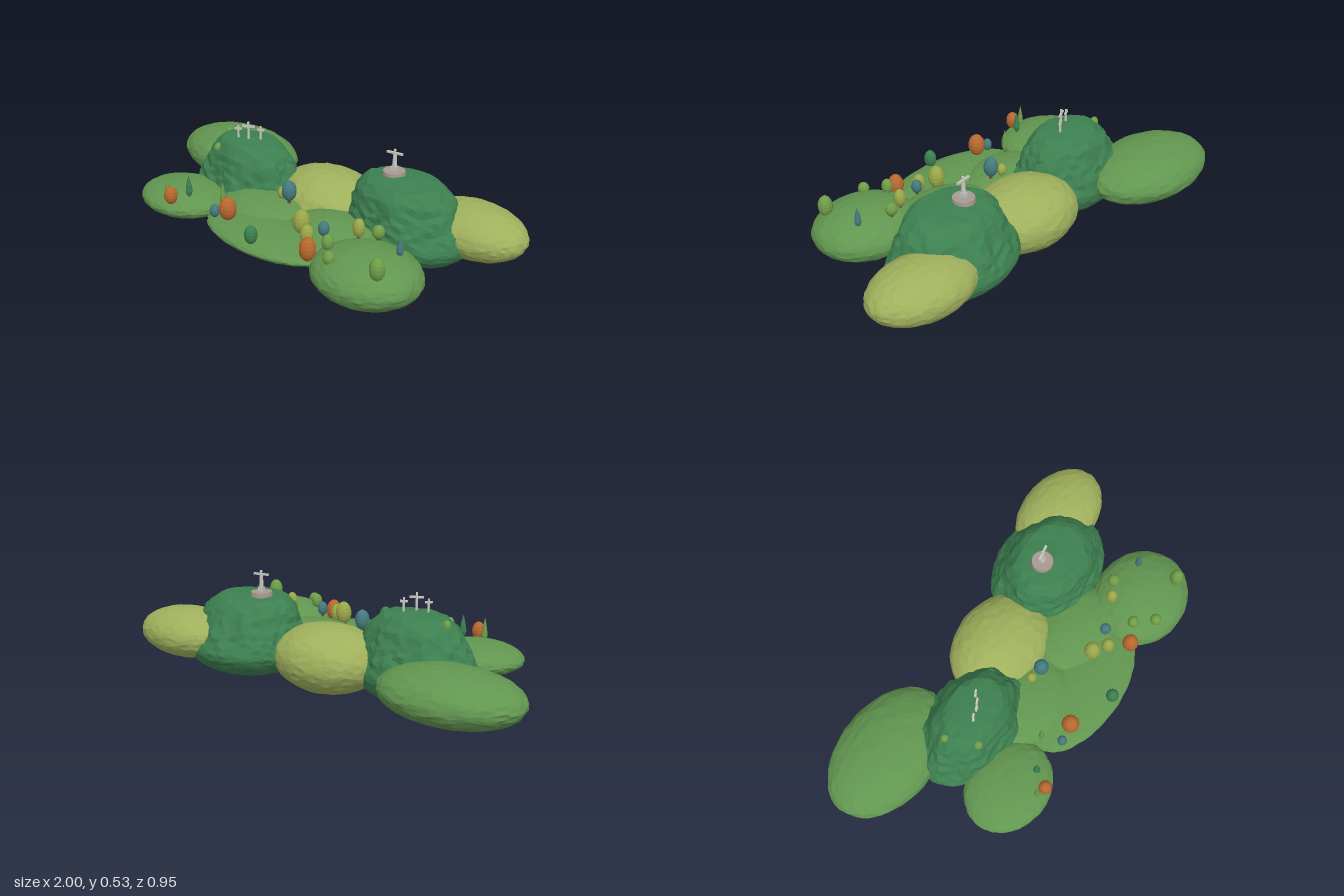
import * as THREE from 'three';

const mat = (color) => new THREE.MeshStandardMaterial({ color, flatShading: true, roughness: 0.9 });
const M = {
  meadow: mat(0x629650), olive: mat(0x9fb05c), forest: mat(0x3d8050),
  stone: mat(0xc8c8c0), paving: mat(0xa89890), trunk: mat(0x6b4a2f),
  orange: mat(0xb8682f), teal: mat(0x457a7d), lime: mat(0x6f9e48),
  yellow: mat(0x9aa84a), pine: mat(0x3a8050),
};

// Repeatable noise in -1..1, equal for shared corners
function noise(x, y, z, seed) {
  const r = (v) => Math.round(v * 1000) / 1000;
  const s = Math.sin(r(x) * 127.1 + r(y) * 311.7 + r(z) * 74.7 + seed * 19.3) * 43758.5453;
  return (s - Math.floor(s)) * 2 - 1;
}

function add(parent, name, geometry, material, x = 0, y = 0, z = 0) {
  const mesh = new THREE.Mesh(geometry, material);
  mesh.name = name;
  mesh.position.set(x, y, z);
  parent.add(mesh);
  return mesh;
}

// Faceted unit sphere reshaped by a rule applied to each vertex
function shapedSphere(detail, rule) {
  const g = new THREE.IcosahedronGeometry(1, detail);
  const p = g.attributes.position;
  const v = new THREE.Vector3();
  for (let i = 0; i < p.count; i++) {
    rule(v.fromBufferAttribute(p, i));
    p.setXYZ(i, v.x, v.y, v.z);
  }
  g.computeVertexNormals();
  return g;
}

// Low rounded hill
function hill(parent, name, material, [x, y, z], [rx, ry, rz], seed) {
  const g = shapedSphere(8, (v) => {
    const k = 1 + 0.012 * noise(v.x, v.y, v.z, seed);
    v.set(v.x * rx * k, v.y * ry * k, v.z * rz * k);
  });
  add(parent, name, g, material, x, y, z);
}

// Mountain: round underside, steep rocky sides and a flat summit.
// profile rows are [elevation 0..1, width fraction, height above centre]
function mountain(parent, name, [x, y, z], [rx, ry, rz], profile, lean, seed) {
  const g = shapedSphere(9, (v) => {
    const n = noise(v.x, v.y, v.z, seed);
    const a = Math.atan2(v.z, v.x);
    if (v.y <= 0) {
      const k = 1 + 0.01 * n;
      v.set(v.x * rx * k, v.y * ry * k, v.z * rz * k);
      return;
    }
    const t = Math.asin(Math.min(1, v.y)) / (Math.PI / 2);
    let i = 0;
    while (i < profile.length - 2 && t > profile[i + 1][0]) i++;
    const [t0, w0, h0] = profile[i];
    const [t1, w1, h1] = profile[i + 1];
    const f = (t - t0) / (t1 - t0);
    const rough = Math.min(1, t * 4) * (1 - t);
    const w = (w0 + (w1 - w0) * f) * (1 + rough * (0.05 * n + 0.05 * Math.sin(a * 7 + seed)));
    const h = h0 + (h1 - h0) * f + 0.008 * n * rough;
    v.set(Math.cos(a) * w * rx + lean[0] * t, h, Math.sin(a) * w * rz + lean[1] * t);
  });
  add(parent, name, g, M.forest, x, y, z);
}

// Tree: short trunk with an egg-shaped or pointed crown
function tree(parent, [x, z, bottom, top, r, colour, pointed]) {
  const t = new THREE.Group();
  t.name = 'tree';
  t.position.set(x, bottom, z);
  const h = top - bottom;
  add(t, 'trunk', new THREE.CylinderGeometry(r * 0.18, r * 0.25, h * 0.4, 6), M.trunk, 0, h * 0.08, 0);
  const crown = pointed
    ? new THREE.LatheGeometry([[0, 0], [0.7, 0.08], [1, 0.25], [0.8, 0.5], [0.4, 0.78], [0, 1]]
      .map(([a, b]) => new THREE.Vector2(a * r, b * h)), 10)
    : new THREE.SphereGeometry(1, 12, 9).scale(r, h / 2, r).translate(0, h / 2, 0);
  add(t, 'crown', crown, M[colour]);
  parent.add(t);
}

function cross(parent, x, z, top, size) {
  const c = new THREE.Group();
  c.name = 'cross';
  c.position.set(x, 0.41, z);
  c.rotation.y = 0.52;
  const h = top - 0.41;
  add(c, 'post', new THREE.BoxGeometry(0.009, h, 0.009), M.stone, 0, h / 2, 0);
  add(c, 'beam', new THREE.BoxGeometry(size, 0.009, 0.009), M.stone, 0, h * 0.76, 0);
  parent.add(c);
}

export function createModel() {
  const model = new THREE.Group();
  model.name = 'hillyIsland';

  // Surrounding hills
  hill(model, 'backRightHill', M.meadow, [-0.665, 0.173, -0.245], [0.335, 0.118, 0.225], 1);
  hill(model, 'saddleHill', M.olive, [0.04, 0.172, -0.135], [0.27, 0.156, 0.215], 2);
  hill(model, 'backLeftHill', M.olive, [0.742, 0.215, -0.298], [0.258, 0.116, 0.178], 3);
  hill(model, 'frontRightHill', M.meadow, [-0.48, 0.17, 0.285], [0.222, 0.07, 0.185], 4);
  hill(model, 'frontMiddleHill', M.meadow, [0.085, 0.168, 0.295], [0.345, 0.045, 0.175], 5);
  hill(model, 'frontLeftHill', M.meadow, [0.62, 0.17, 0.257], [0.248, 0.112, 0.216], 6);
  hill(model, 'innerRightHill', M.meadow, [-0.11, 0.17, 0.12], [0.24, 0.076, 0.19], 7);
  hill(model, 'innerLeftHill', M.meadow, [0.3, 0.17, 0.1], [0.24, 0.082, 0.18], 8);

  // Two mountains
  mountain(model, 'crossMountain', [-0.35, 0.16, -0.022], [0.31, 0.16, 0.215],
    [[0, 1, 0], [0.2, 0.91, 0.06], [0.4, 0.79, 0.13], [0.58, 0.68, 0.195], [0.72, 0.5, 0.248], [1, 0, 0.26]],
    [0.02, 0.02], 11);
  mountain(model, 'statueMountain', [0.49, 0.18, -0.185], [0.315, 0.142, 0.245],
    [[0, 1, 0], [0.2, 0.92, 0.06], [0.4, 0.8, 0.125], [0.56, 0.72, 0.18], [0.7, 0.56, 0.225], [1, 0, 0.238]],
    [-0.04, 0.05], 12);

  // Three crosses on one summit
  cross(model, -0.33, 0.012, 0.5, 0.062);
  cross(model, -0.38, 0.03, 0.475, 0.034);
  cross(model, -0.288, -0.026, 0.478, 0.034);

  // Statue with open arms on a round terrace
  const statue = new THREE.Group();
  statue.name = 'statue';
  statue.position.set(0.405, 0.405, -0.162);
  statue.rotation.y = 0.2;
  add(statue, 'terrace', new THREE.CylinderGeometry(0.049, 0.052, 0.026, 20), M.paving, 0, 0.012, 0);
  add(statue, 'pedestal', new THREE.BoxGeometry(0.024, 0.022, 0.024), M.stone, 0, 0.034, 0);
  add(statue, 'robe', new THREE.CylinderGeometry(0.007, 0.011, 0.07, 10), M.stone, 0, 0.077, 0);
  add(statue, 'arms', new THREE.BoxGeometry(0.076, 0.009, 0.01), M.stone, 0, 0.106, 0);
  add(statue, 'head', new THREE.SphereGeometry(0.0065, 10, 8), M.stone, 0, 0.119, 0);
  model.add(statue);

  // Trees: x, z, bottom, top, radius, colour, pointed
  [
    [-0.405, 0.43, 0.2, 0.285, 0.031, 'orange'],
    [-0.445, 0.415, 0.2, 0.315, 0.014, 'lime', true],
    [-0.365, 0.355, 0.225, 0.33, 0.016, 'pine', true],
    [-0.22, 0.28, 0.2, 0.32, 0.014, 'lime', true],
    [-0.182, 0.365, 0.188, 0.25, 0.022, 'teal'],
    [-0.105, 0.355, 0.198, 0.305, 0.04, 'orange'],
    [-0.03, 0.09, 0.235, 0.295, 0.023, 'yellow'],
    [0.025, 0.103, 0.248, 0.345, 0.034, 'teal'],
    [0.12, 0.43, 0.19, 0.275, 0.029, 'pine'],
    [0.235, 0.24, 0.212, 0.322, 0.038, 'yellow'],
    [0.305, 0.28, 0.2, 0.29, 0.03, 'yellow'],
    [0.355, 0.23, 0.24, 0.305, 0.025, 'teal'],
    [0.38, 0.355, 0.178, 0.285, 0.037, 'orange'],
    [0.456, 0.315, 0.242, 0.312, 0.026, 'lime'],
    [0.495, 0.168, 0.26, 0.345, 0.027, 'yellow'],
    [0.532, 0.39, 0.232, 0.292, 0.026, 'lime'],
    [0.57, 0.13, 0.265, 0.327, 0.028, 'lime'],
    [0.54, 0.0, 0.275, 0.33, 0.025, 'pine'],
    [0.718, 0.17, 0.255, 0.352, 0.016, 'teal', true],
    [0.757, 0.357, 0.235, 0.335, 0.033, 'lime'],
    [-0.51, -0.03, 0.362, 0.412, 0.019, 'lime'],
    [-0.445, 0.1, 0.34, 0.388, 0.021, 'lime'],
    [-0.135, -0.06, 0.31, 0.36, 0.018, 'pine'],
  ].forEach((t) => tree(model, t));

  return model;
}
